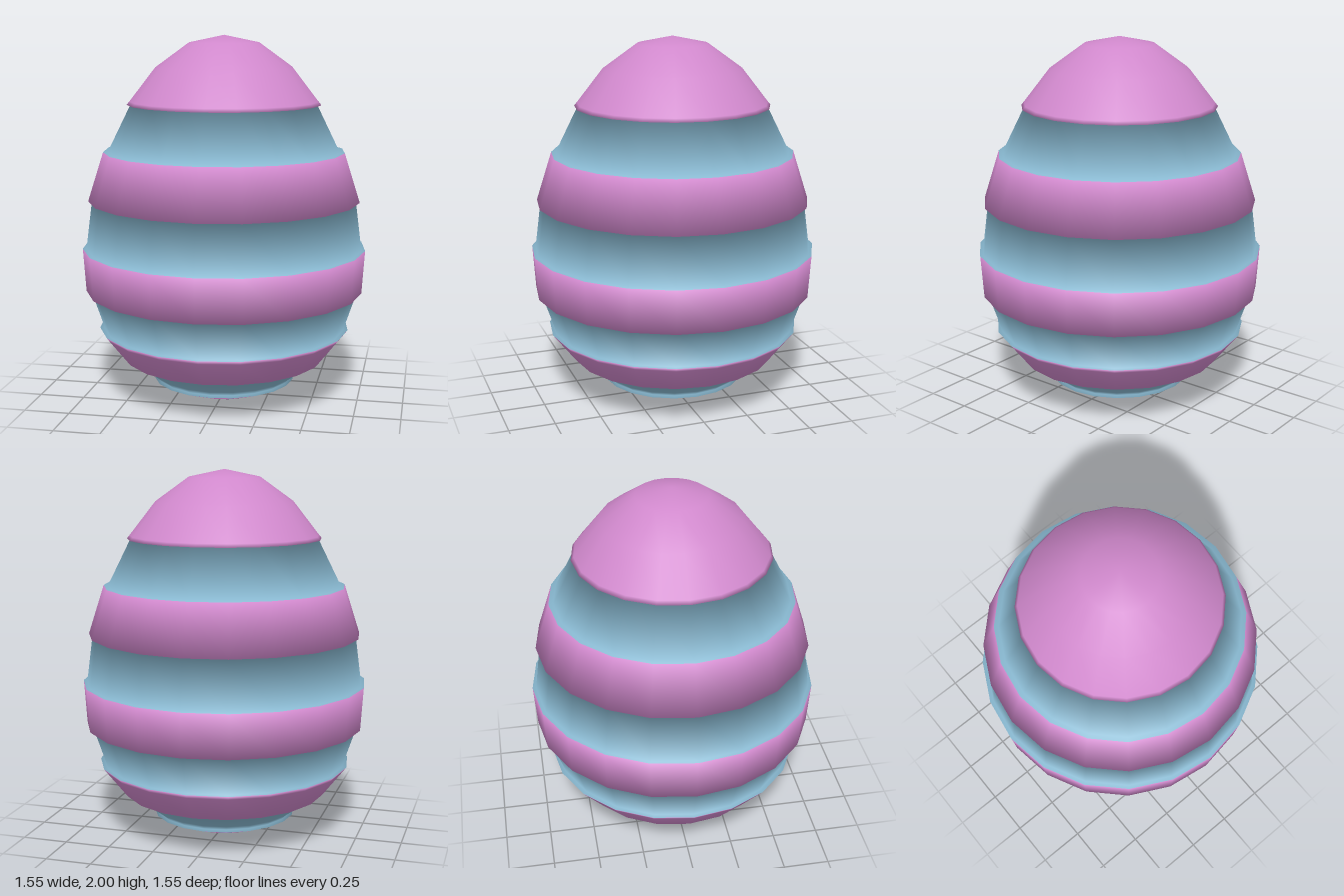
import * as THREE from 'three';

const SIDES = 20;
const pink = new THREE.MeshStandardMaterial({ color: 0xd088cc });
const blue = new THREE.MeshStandardMaterial({ color: 0x88b8d0 });

// Bands from bottom to top, each a run of [radius, height]; raised pink bands alternate with blue grooves
const bands = [
  ['bottomCap', [[0, 0.005], [0.2, 0.03], [0.39, 0.105]]],
  ['lowestGroove', [[0.375, 0.115], [0.4, 0.14], [0.53, 0.237]]],
  ['lowerStripe', [[0.56, 0.237], [0.675, 0.385], [0.69, 0.405]]],
  ['lowerGroove', [[0.665, 0.405], [0.735, 0.617]]],
  ['middleStripe', [[0.76, 0.617], [0.775, 0.853]]],
  ['middleGroove', [[0.755, 0.853], [0.72, 1.115]]],
  ['upperStripe', [[0.74, 1.115], [0.655, 1.38]]],
  ['upperGroove', [[0.63, 1.38], [0.505, 1.632]]],
  ['topCap', [[0.525, 1.632], [0.51, 1.65], [0.37, 1.83], [0.19, 1.96], [0, 2]]],
];

// Smooth lathe whose normals blend evenly across the ledges between bands
function eggLathe(points) {
  const geometry = new THREE.LatheGeometry(points, SIDES);
  const edge = (a, b) => new THREE.Vector2(b.y - a.y, a.x - b.x).normalize();
  const last = points.length - 1;
  const normals = points.map((p, j) => {
    if (j === 0) return new THREE.Vector2(0, -1);
    if (j === last) return new THREE.Vector2(0, 1);
    return edge(points[j - 1], p).add(edge(p, points[j + 1])).normalize();
  });
  for (let i = 0; i <= SIDES; i++) {
    const phi = (i / SIDES) * Math.PI * 2;
    normals.forEach((n, j) => geometry.attributes.normal.setXYZ(
      i * points.length + j, n.x * Math.sin(phi), n.y, n.x * Math.cos(phi)));
  }
  return geometry;
}

export function createModel() {
  const group = new THREE.Group();
  group.name = 'stripedEgg';
  const points = bands.flatMap(([, run]) => run.map(([r, y]) => new THREE.Vector2(r, y)));
  const whole = eggLathe(points);
  const rows = points.length - 1;

  // Each band takes its own rows of the shell; grooves also take the ledges on both sides
  let start = 0;
  bands.forEach(([name, run], k) => {
    const groove = k % 2 === 1;
    const end = start + run.length - 1;
    const from = groove ? start - 1 : start;
    const to = groove ? end + 1 : end;
    const index = [];
    for (let i = 0; i < SIDES; i++) {
      for (let j = from; j < to; j++) {
        for (let c = 0; c < 6; c++) index.push(whole.index.getX((i * rows + j) * 6 + c));
      }
    }
    const geometry = new THREE.BufferGeometry();
    for (const key of ['position', 'normal', 'uv']) geometry.setAttribute(key, whole.attributes[key]);
    geometry.setIndex(index);
    const mesh = new THREE.Mesh(geometry, groove ? blue : pink);
    mesh.name = name;
    group.add(mesh);
    start = end + 1;
  });
  return group;
}
